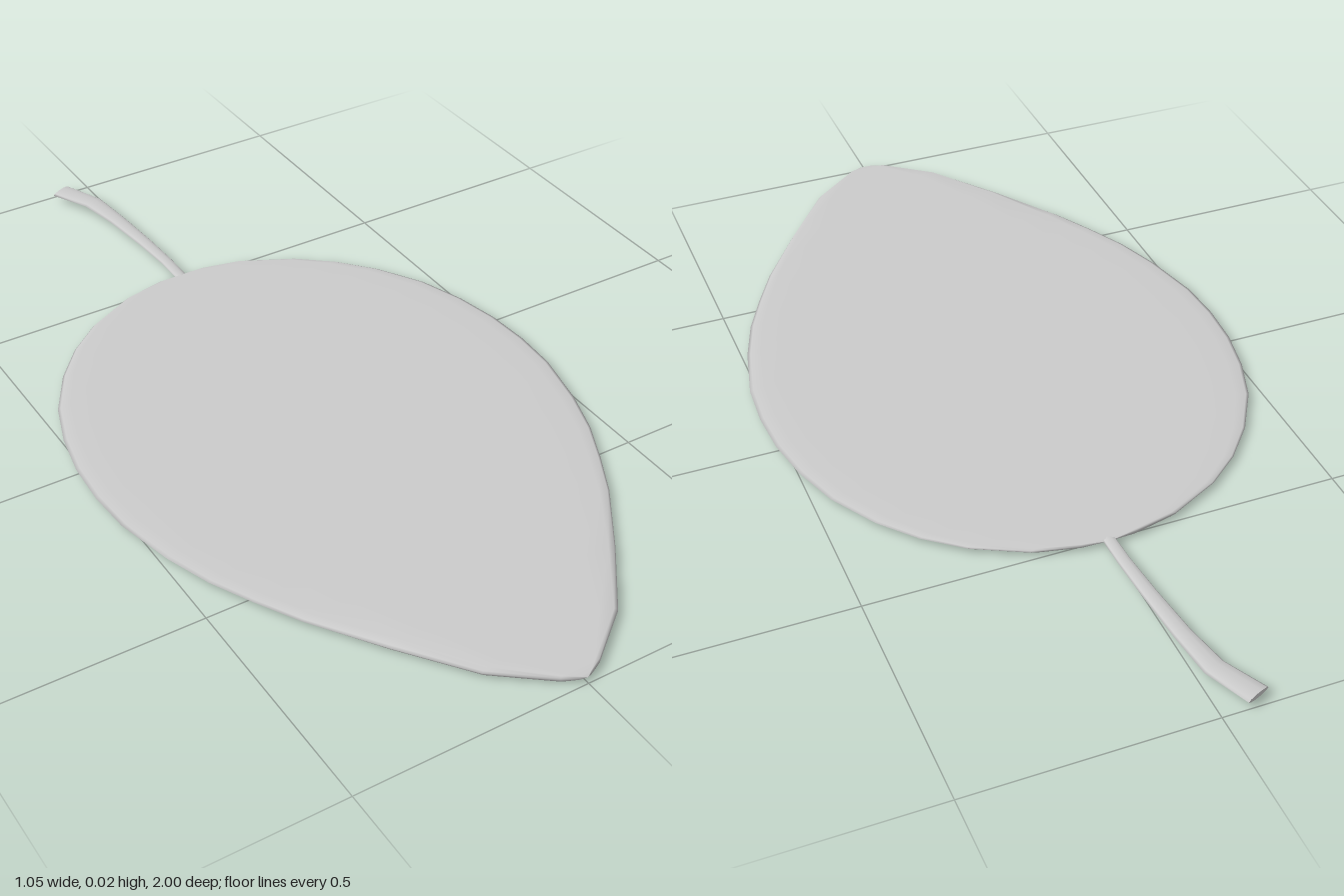
import * as THREE from 'three';

const MID = 0.0125; // height of the leaf's middle plane

// Skin a list of equal-length closed rings, ordered towards +z and counterclockwise seen from +z
function loft(rings) {
  const n = rings[0].length;
  const index = [];
  for (let i = 0; i < rings.length - 1; i++) {
    for (let j = 0; j < n; j++) {
      const k = (j + 1) % n;
      const a = i * n + j, b = i * n + k, c = b + n, d = a + n;
      index.push(a, b, c, a, c, d);
    }
  }
  const geometry = new THREE.BufferGeometry();
  geometry.setAttribute('position', new THREE.Float32BufferAttribute(rings.flat(2), 3));
  geometry.setIndex(index);
  geometry.computeVertexNormals();
  return geometry;
}

// Thin leaf blade: rows of [z, half width, half thickness]
function bladeGeometry() {
  const rows = [
    [-0.517, 0, 0], [-0.511, 0.06, 0.004], [-0.49, 0.155, 0.005], [-0.435, 0.265, 0.005],
    [-0.375, 0.34, 0.005], [-0.3, 0.405, 0.005], [-0.2, 0.465, 0.005], [-0.1, 0.5, 0.005],
    [0, 0.52, 0.005], [0.1, 0.526, 0.005], [0.2, 0.52, 0.005], [0.33, 0.49, 0.005],
    [0.43, 0.455, 0.005], [0.52, 0.41, 0.005], [0.61, 0.36, 0.006], [0.75, 0.262, 0.0115],
    [0.89, 0.155, 0.0105], [0.975, 0.045, 0.007], [0.99, 0.015, 0.004], [0.996, 0, 0],
  ];
  const across = [1, 0.985, 0.93, 0.7, 0.35, 0, -0.35, -0.7, -0.93, -0.985];
  const outline = [
    ...across.map((u) => [u, 1]),
    ...across.map((u) => [-u, -1]),
  ];
  const rise = (u) => Math.min(1, Math.sqrt((1 - Math.abs(u)) / 0.07));
  return loft(rows.map(([z, w, h]) =>
    outline.map(([u, side]) => [u * w, MID + side * h * rise(u), z])));
}

// Curved stalk widening to a cut end: [x, y, z, half width, half height, turn]
function stalkGeometry() {
  const stations = [
    [-0.076, 0.019, -0.99, 0.027, 0.006, 0.4],
    [-0.033, 0.019, -0.9, 0.024, 0.006, 0.3],
    [-0.018, 0.018, -0.8, 0.019, 0.0055, 0.12],
    [-0.007, 0.017, -0.68, 0.016, 0.005, 0.06],
    [-0.001, 0.015, -0.58, 0.014, 0.005, 0],
    [0, MID, -0.5, 0.013, 0.004, 0],
  ];
  const sides = 10;
  const rings = stations.map(([x, y, z, w, h, turn]) =>
    Array.from({ length: sides }, (_, j) => {
      const a = (j / sides) * Math.PI * 2;
      const s = w * Math.cos(a);
      return [x + s * Math.cos(turn), y + h * Math.sin(a), z - s * Math.sin(turn)];
    }));
  // Flat cap on the cut end, with its own rim so the edge stays sharp
  const centre = stations[0].slice(0, 3);
  return loft([rings[0].map(() => centre), rings[0], ...rings]);
}

export function createModel() {
  const material = new THREE.MeshStandardMaterial({ color: 0xcccccc });
  const group = new THREE.Group();
  group.name = 'leaf';
  const parts = { blade: bladeGeometry(), stalk: stalkGeometry() };
  for (const [name, geometry] of Object.entries(parts)) {
    const mesh = new THREE.Mesh(geometry, material);
    mesh.name = name;
    group.add(mesh);
  }
  return group;
}
